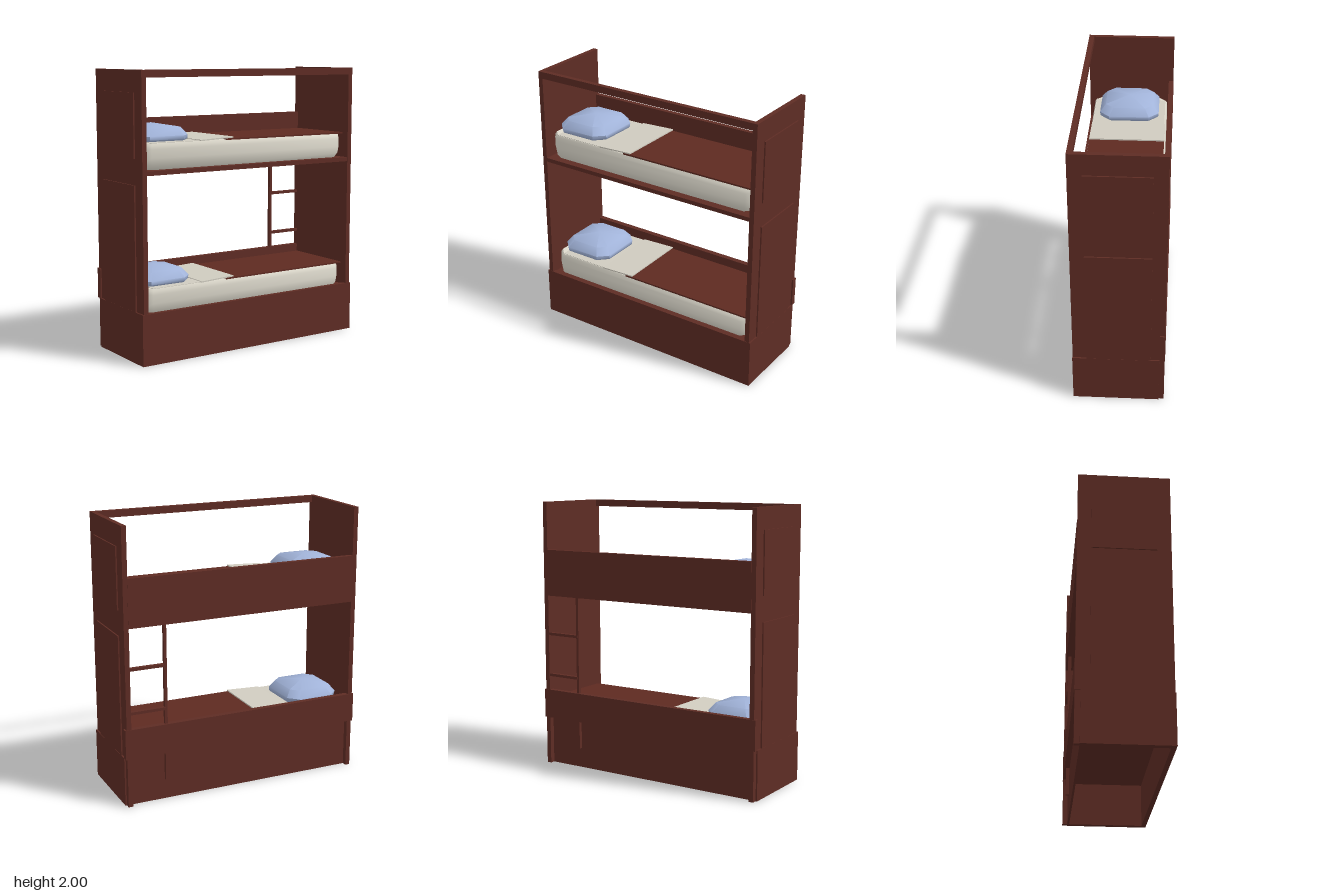
import * as THREE from 'three';
import { toCreasedNormals } from 'three/addons/utils/BufferGeometryUtils.js';

const wood = new THREE.MeshStandardMaterial({ color: 0x5e2c24 });
wood.name = 'brown wood';
const blanketCloth = new THREE.MeshStandardMaterial({ color: 0x5e2a21 });
blanketCloth.name = 'red brown blanket';
const mattressCloth = new THREE.MeshStandardMaterial({ color: 0xe0dccf });
mattressCloth.name = 'cream cloth';
const sheetCloth = new THREE.MeshStandardMaterial({ color: 0xd0ccc0 });
sheetCloth.name = 'grey cream sheet';
const pillowCloth = new THREE.MeshStandardMaterial({ color: 0xa2b4da });
pillowCloth.name = 'pale blue cloth';

// Box given by its min and max on each axis
function box(parent, name, mat, [x0, x1], [y0, y1], [z0, z1]) {
  const mesh = new THREE.Mesh(new THREE.BoxGeometry(x1 - x0, y1 - y0, z1 - z0), mat);
  mesh.position.set((x0 + x1) / 2, (y0 + y1) / 2, (z0 + z1) / 2);
  mesh.name = name;
  parent.add(mesh);
  return mesh;
}

// Rectangle with cut corners, as [x, z] points
function cutRect(hx, hz, c) {
  return [[hx, -hz + c], [hx, hz - c], [hx - c, hz], [-hx + c, hz],
    [-hx, hz - c], [-hx, -hz + c], [-hx + c, -hz], [hx - c, -hz]];
}

// Closed solid from stacked rings { y, pts }, ending in a raised centre point
function loft(rings, topY, crease) {
  const n = rings[0].pts.length;
  const pos = [];
  const idx = [];
  rings.forEach(r => r.pts.forEach(([x, z]) => pos.push(x, r.y, z)));
  pos.push(0, rings[0].y, 0, 0, topY, 0);
  const bottom = rings.length * n;
  const last = bottom - n;
  for (let k = 0; k < n; k++) {
    const m = (k + 1) % n;
    for (let r = 0; r < rings.length - 1; r++) {
      const a = r * n;
      const b = a + n;
      idx.push(a + k, b + k, a + m, a + m, b + k, b + m);
    }
    idx.push(bottom, k, m, bottom + 1, last + m, last + k);
  }
  const geo = new THREE.BufferGeometry();
  geo.setAttribute('position', new THREE.Float32BufferAttribute(pos, 3));
  geo.setIndex(idx);
  return toCreasedNormals(geo, crease);
}

// Mattress, blanket, folded sheet and pillow; y = 0 is the mattress underside
function createBedding(name, y) {
  const bed = new THREE.Group();
  bed.name = name;
  bed.position.y = y;

  const rings = [[0, 0.02], [0.03, 0.005], [0.08, 0], [0.14, 0.001], [0.165, 0.004], [0.18, 0.012]]
    .map(([h, inset]) => ({ y: h, pts: cutRect(0.868 - inset, 0.28 - inset, 0.06) }));
  const mattress = new THREE.Mesh(loft(rings, 0.18, 0.9), mattressCloth);
  mattress.name = 'mattress';
  bed.add(mattress);

  box(bed, 'bottomSheet', sheetCloth, [-0.8, -0.4], [0.178, 0.183], [-0.265, 0.265]);
  box(bed, 'blanket', blanketCloth, [-0.2, 0.862], [0.176, 0.187], [-0.27, 0.272]);
  const fold = box(bed, 'foldedSheet', sheetCloth, [-0.41, -0.14], [0.184, 0.193], [-0.272, 0.272]);
  fold.rotation.z = 0.045;

  const pillow = new THREE.Mesh(loft([
    { y: 0, pts: cutRect(0.2, 0.21, 0.07) },
    { y: 0.01, pts: cutRect(0.207, 0.218, 0.072) },
    { y: 0.035, pts: cutRect(0.208, 0.22, 0.072) },
    { y: 0.088, pts: cutRect(0.168, 0.178, 0.06) },
  ], 0.118, 0.75), pillowCloth);
  pillow.name = 'pillow';
  pillow.position.set(-0.65, 0.185, 0);
  bed.add(pillow);
  return bed;
}

export function createModel() {
  const model = new THREE.Group();
  model.name = 'bunkBed';

  // End panels with raised fields and base plates
  for (const s of [-1, 1]) {
    const side = s > 0 ? 'left' : 'right';
    const span = (a, b) => (s > 0 ? [a, b] : [-b, -a]);
    box(model, side + 'EndPanel', wood, span(0.87, 0.905), [0, 2], [-0.322, 0.322]);
    box(model, side + 'UpperField', wood, span(0.9, 0.915), [1.41, 1.85], [-0.225, 0.225]);
    box(model, side + 'LowerField', wood, span(0.9, 0.915), [0.35, 1.23], [-0.225, 0.225]);
    box(model, side + 'BasePlate', wood, span(0.89, 0.916), [0, 0.36], [-0.285, 0.32]);
  }

  // Base, open underneath
  box(model, 'baseFront', wood, [-0.916, 0.916], [0, 0.36], [0.29, 0.325]);
  box(model, 'baseBack', wood, [-0.872, 0.872], [0, 0.36], [-0.285, -0.27]);
  box(model, 'lowerPlatform', wood, [-0.872, 0.872], [0.325, 0.35], [-0.28, 0.3]);

  // Upper bunk and rails
  box(model, 'upperPlatform', wood, [-0.872, 0.872], [1.3, 1.33], [-0.3, 0.32]);
  box(model, 'topRail', wood, [-0.872, 0.872], [1.95, 2], [0.285, 0.322]);
  box(model, 'upperBackBoard', wood, [-0.872, 0.872], [1.3, 1.645], [-0.324, -0.287]);
  box(model, 'lowerBackBoard', wood, [-0.916, 0.916], [0.36, 0.577], [-0.325, -0.285]);

  // Ladder at the back
  const ladder = new THREE.Group();
  ladder.name = 'ladder';
  box(ladder, 'ladderPost', wood, [0.595, 0.615], [0.15, 1.31], [-0.312, -0.287]);
  for (const y of [0.375, 0.692, 1.008])
    box(ladder, 'ladderRung', wood, [0.605, 0.872], [y - 0.01, y + 0.01], [-0.318, -0.287]);
  model.add(ladder);

  model.add(createBedding('lowerBedding', 0.335), createBedding('upperBedding', 1.33));
  return model;
}
